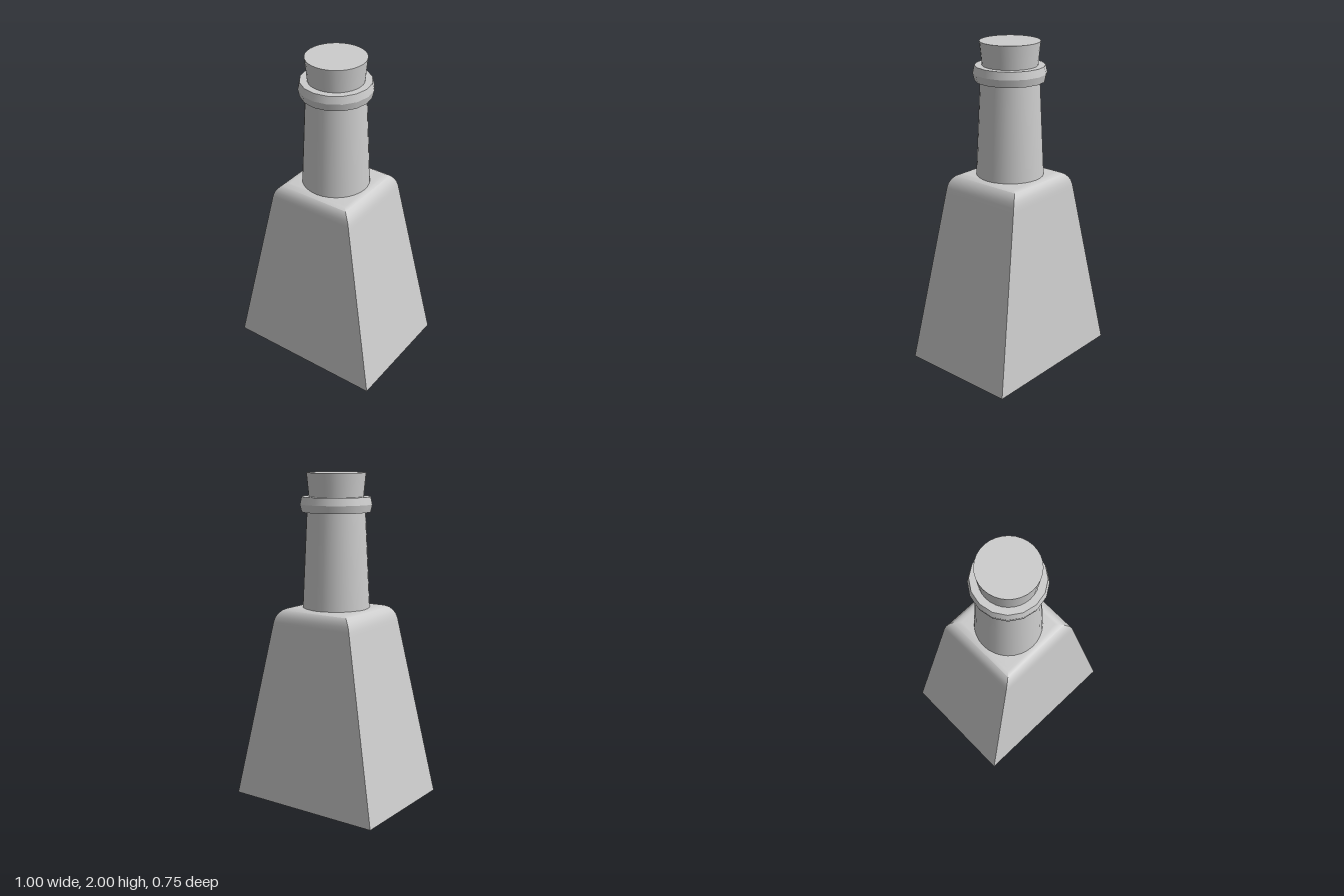
import * as THREE from 'three';
import { toCreasedNormals } from 'three/addons/utils/BufferGeometryUtils.js';

const glass = new THREE.MeshStandardMaterial({ color: 0xcccccc });
glass.name = 'pale grey';

// Rectangular sections [y, half width, half depth] joined into a closed solid
function rectangularLoft(sections) {
  const corners = [[1, 1], [1, -1], [-1, -1], [-1, 1]];
  const positions = [];
  const index = [];
  for (const [y, w, d] of sections) {
    for (const [sx, sz] of corners) positions.push(sx * w, y, sz * d);
  }
  for (let row = 0; row < sections.length - 1; row++) {
    for (let i = 0; i < 4; i++) {
      const a = row * 4 + i;
      const b = row * 4 + (i + 1) % 4;
      index.push(a, b, b + 4, a, b + 4, a + 4);
    }
  }
  const top = (sections.length - 1) * 4;
  index.push(0, 2, 1, 0, 3, 2, top, top + 1, top + 2, top, top + 2, top + 3);
  const geometry = new THREE.BufferGeometry();
  geometry.setAttribute('position', new THREE.Float32BufferAttribute(positions, 3));
  geometry.setIndex(index);
  return toCreasedNormals(geometry, 0.8);
}

// Round part standing between two heights
function roundPart(name, rTop, rBottom, y0, y1, sides) {
  const mesh = new THREE.Mesh(new THREE.CylinderGeometry(rTop, rBottom, y1 - y0, sides), glass);
  mesh.name = name;
  mesh.position.y = (y0 + y1) / 2;
  return mesh;
}

export function createModel() {
  const bottle = new THREE.Group();
  bottle.name = 'bottle';

  // Tapered four-sided body with rounded shoulders
  const body = new THREE.Mesh(rectangularLoft([
    [0, 0.5, 0.373],
    [1.08, 0.282, 0.271],
    [1.11, 0.276, 0.268],
    [1.14, 0.267, 0.262],
    [1.165, 0.252, 0.252],
    [1.185, 0.232, 0.235],
    [1.195, 0.212, 0.215],
    [1.197, 0.195, 0.198],
  ]), glass);
  body.name = 'body';
  bottle.add(body);

  // Neck
  bottle.add(roundPart('neck', 0.175, 0.205, 1.18, 1.79, 32));

  // Lip ring: two bevelled bands meeting at the widest point
  const lip = new THREE.Group();
  lip.name = 'lip';
  lip.add(
    roundPart('lowerLip', 0.218, 0.208, 1.77, 1.815, 16),
    roundPart('upperLip', 0.208, 0.218, 1.815, 1.86, 16),
  );
  bottle.add(lip);

  // Stopper, widening upward
  bottle.add(roundPart('stopper', 0.178, 0.162, 1.84, 2, 32));

  return bottle;
}
